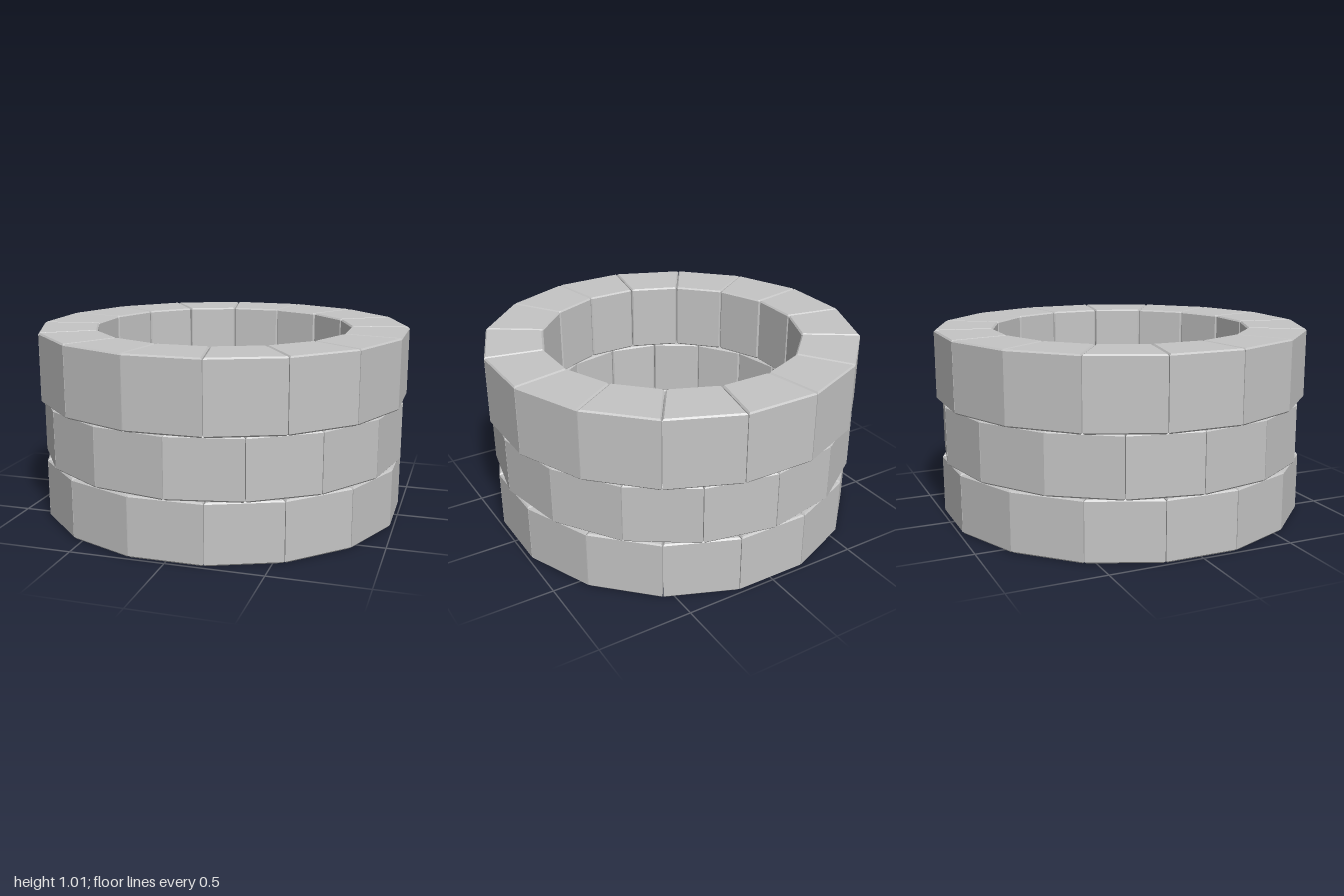
import * as THREE from 'three';

const SIDES = 16;
const STEP = (Math.PI * 2) / SIDES;

// One bevelled wedge-shaped stone, standing on y = 0 at -z
function stoneGeometry(inner, outer, height) {
  const bevel = 0.008, gap = 0.002, chamfer = 0.006;
  const half = r => r * Math.tan(STEP / 2) - gap;
  const shape = new THREE.Shape([
    new THREE.Vector2(-half(outer), outer),
    new THREE.Vector2(-half(inner + chamfer), inner + chamfer),
    new THREE.Vector2(-half(inner) + chamfer, inner),
    new THREE.Vector2(half(inner) - chamfer, inner),
    new THREE.Vector2(half(inner + chamfer), inner + chamfer),
    new THREE.Vector2(half(outer), outer),
  ]);
  const geometry = new THREE.ExtrudeGeometry(shape, {
    depth: height - 2 * bevel,
    bevelEnabled: true,
    bevelSegments: 1,
    bevelThickness: bevel,
    bevelSize: bevel,
    bevelOffset: -bevel,
  });
  geometry.translate(0, 0, bevel);
  geometry.rotateX(-Math.PI / 2);
  return geometry;
}

export function createModel() {
  const stone = new THREE.MeshStandardMaterial({ color: 0xc5c5c5 });
  stone.name = 'grey stone';
  const model = new THREE.Group();
  model.name = 'stoneWell';

  // Three courses of stones, the middle one shifted by half a stone
  const courses = [
    { name: 'bottomCourse', y: 0, height: 0.32, outer: 0.982, turn: 0 },
    { name: 'middleCourse', y: 0.32, height: 0.32, outer: 0.982, turn: 0.5 },
    { name: 'topCourse', y: 0.64, height: 0.375, outer: 1, turn: 0 },
  ];
  for (const { name, y, height, outer, turn } of courses) {
    const course = new THREE.Group();
    course.name = name;
    const geometry = stoneGeometry(0.692, outer, height);
    for (let i = 0; i < SIDES; i++) {
      const block = new THREE.Mesh(geometry, stone);
      block.name = 'stoneBlock';
      block.position.y = y;
      block.rotation.y = (i + turn) * STEP;
      course.add(block);
    }
    model.add(course);
  }

  // Floor disc just above the ground
  const floor = new THREE.Mesh(new THREE.CylinderGeometry(0.705, 0.705, 0.03, 48), stone);
  floor.name = 'floor';
  floor.position.y = 0.03;
  model.add(floor);

  return model;
}
